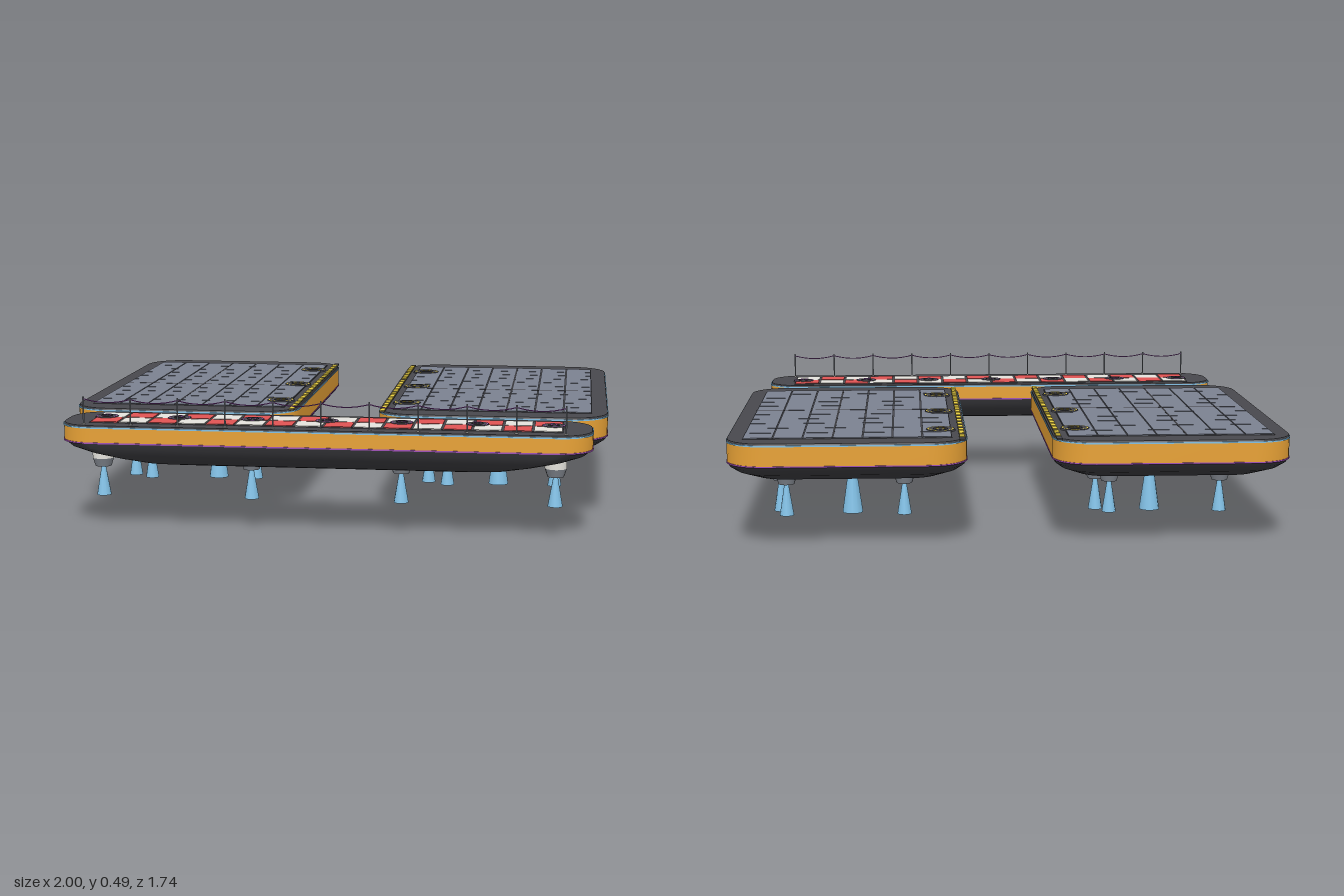
import * as THREE from 'three';
import { toCreasedNormals } from 'three/addons/utils/BufferGeometryUtils.js';

const mat = (name, color) => {
  const m = new THREE.MeshStandardMaterial({ color });
  m.name = name;
  return m;
};

export function createModel() {
  const M = {
    hull: mat('hull black', 0x38383c),
    rim: mat('deck charcoal', 0x48484d),
    band: mat('band orange', 0xe8a236),
    tile: mat('tile grey', 0x7b8190),
    red: mat('check red', 0xe05353),
    white: mat('check white', 0xe4e2dc),
    yellow: mat('marking yellow', 0xe6cc40),
    flame: mat('jet blue', 0x84c4ea),
    trim: mat('trim purple', 0xa050b8),
    metal: mat('nozzle grey', 0x80858d),
  };
  const root = new THREE.Group();
  root.name = 'floatingPlatforms';

  const add = (parent, name, geo, m, x = 0, y = 0, z = 0) => {
    const mesh = new THREE.Mesh(geo, m);
    mesh.name = name;
    mesh.position.set(x, y, z);
    parent.add(mesh);
    return mesh;
  };
  const box = (p, name, m, w, h, d, x, y, z) => add(p, name, new THREE.BoxGeometry(w, h, d), m, x, y, z);
  const cyl = (p, name, m, rTop, rBot, y0, y1, x, z, n = 16) =>
    add(p, name, new THREE.CylinderGeometry(rTop, rBot, y1 - y0, n), m, x, (y0 + y1) / 2, z);
  const group = (p, name, x = 0, z = 0) => {
    const g = new THREE.Group();
    g.name = name;
    g.position.set(x, 0, z);
    p.add(g);
    return g;
  };

  // Skin over rounded rectangles; layers run upward as [y, scaleX, scaleZ]
  function loft(hx, hz, r, layers) {
    const loop = [], steps = 8;
    [[1, 1], [-1, 1], [-1, -1], [1, -1]].forEach(([sx, sz], q) => {
      for (let i = 0; i <= steps; i++) {
        const a = (q + i / steps) * Math.PI / 2;
        loop.push([sx * (hx - r) + r * Math.cos(a), sz * (hz - r) + r * Math.sin(a)]);
      }
    });
    const n = loop.length, pos = [], idx = [];
    for (const [y, sx, sz] of layers) for (const [x, z] of loop) pos.push(x * sx, y, z * sz);
    for (let l = 0; l < layers.length - 1; l++) {
      for (let i = 0; i < n; i++) {
        const a = l * n + i, c = l * n + (i + 1) % n;
        idx.push(a, a + n, c, c, a + n, c + n);
      }
    }
    const top = (layers.length - 1) * n, c0 = pos.length / 3;
    pos.push(0, layers[0][0], 0, 0, layers[layers.length - 1][0], 0);
    for (let i = 0; i < n; i++) {
      const j = (i + 1) % n;
      idx.push(c0, i, j, c0 + 1, top + j, top + i);
    }
    const g = new THREE.BufferGeometry();
    g.setAttribute('position', new THREE.Float32BufferAttribute(pos, 3));
    g.setIndex(idx);
    return toCreasedNormals(g, 0.5);
  }

  // Hull, trim lines, coloured band and deck plate
  function body(p, hx, hz, r, yBand, hullLayers) {
    const line = (name, m, y) =>
      add(p, name, loft(hx + 0.002, hz + 0.002, r, [[y - 0.0025, 1, 1], [y + 0.0025, 1, 1]]), m);
    add(p, 'hull', loft(hx, hz, r, hullLayers), M.hull);
    line('lowerTrim', M.trim, yBand);
    add(p, 'sideBand', loft(hx, hz, r, [[yBand, 1, 1], [0.38, 1, 1]]), M.band);
    line('upperTrim', M.flame, 0.379);
    add(p, 'deckPlate', loft(hx, hz, r, [[0.38, 1, 1], [0.387, 0.996, 0.994]]), M.rim);
  }

  // Thruster: strut, tapered nozzle and jet cone
  function thruster(p, x, z, r, strutTop, yNozzle, yTip, strutMat) {
    const g = group(p, 'thruster', x, z);
    cyl(g, 'strut', strutMat, r, r, yNozzle + 0.03, strutTop, 0, 0);
    cyl(g, 'nozzle', M.metal, r, r * 0.75, yNozzle, yNozzle + 0.03, 0, 0);
    cyl(g, 'jet', M.flame, r * 0.2, r * 0.68, yTip, yNozzle, 0, 0, 12);
  }

  // Round deck emitter with a thin coloured ring and centre marks
  function emitter(p, x, z, r, m) {
    const g = group(p, 'deckEmitter', x, z);
    cyl(g, 'emitterBase', M.rim, r * 0.96, r, 0.386, 0.393, 0, 0, 20);
    const ring = add(g, 'emitterRing', new THREE.RingGeometry(r * 0.8, r * 0.88, 20), m, 0, 0.3936, 0);
    ring.rotation.x = -Math.PI / 2;
    cyl(g, 'emitterCore', M.hull, r * 0.5, r * 0.5, 0.392, 0.3945, 0, 0);
    for (const s of [-1, 1]) box(g, 'emitterMark', m, r * 0.2, 0.002, r * 0.34, s * r * 0.2, 0.3945, 0);
  }

  // Two large landing platforms
  const jets = [[-0.2, -0.41], [0.23, 0.4], [-0.175, 0.43], [-0.25, 0.385]];
  const pairs = { 1: [[0.25, -0.335], [0.225, -0.415]], '-1': [[0.25, -0.355], [0.205, -0.41]] };
  for (const s of [-1, 1]) {
    const p = group(root, s > 0 ? 'leftPlatform' : 'rightPlatform', s * 0.575, -0.19);
    body(p, 0.423, 0.682, 0.14, 0.306, [
      [0.217, 0.48, 0.5], [0.222, 0.62, 0.65], [0.238, 0.78, 0.81],
      [0.268, 0.92, 0.935], [0.29, 0.98, 0.985], [0.306, 1, 1],
    ]);

    // Tiled surface, 7 by 11, with two wider seams
    box(p, 'tileBed', M.rim, 0.735, 0.004, 1.15, s * -0.0025, 0.387, -0.005);
    const tw = 0.735 / 7, td = 1.15 / 11;
    const tiles = group(p, 'tiles');
    for (let i = 0; i < 7; i++) {
      for (let j = 0; j < 11; j++) {
        box(tiles, 'tile', M.tile, tw - 0.004, 0.004, td - 0.004,
          s * (-0.37 + (i + 0.5) * tw), 0.389, -0.58 + (j + 0.5) * td);
      }
    }
    box(tiles, 'seamLong', M.hull, 0.007, 0.005, 1.15, s * (-0.37 + 4 * tw), 0.389, -0.005);
    box(tiles, 'seamCross', M.hull, 0.735, 0.005, 0.007, s * -0.0025, 0.389, -0.58 + 6 * td);

    // Dashed warning strip on the inner edge
    box(p, 'edgeStrip', M.rim, 0.02, 0.006, 1.25, s * -0.405, 0.387, -0.005);
    for (let i = 0; i < 18; i++) {
      box(p, 'edgeDash', M.yellow, 0.018, 0.004, 0.046, s * -0.405, 0.391, -0.56 + i * 0.0688);
    }
    for (const z of [-0.42, 0, 0.42]) emitter(p, s * -0.332, z, 0.054, M.yellow);

    thruster(p, 0, 0, 0.058, 0.24, 0.195, 0, M.metal);
    for (const [x, z] of [...jets, ...pairs[s]]) thruster(p, x, z, 0.038, 0.255, 0.195, 0.08, M.metal);
  }

  // Long checkered platform at the front
  const f = group(root, 'frontPlatform', 0, 0.71);
  body(f, 0.943, 0.157, 0.12, 0.324, [
    [0.234, 0.6, 0.35], [0.241, 0.7, 0.53], [0.259, 0.8, 0.74],
    [0.28, 0.9, 0.88], [0.302, 0.97, 0.96], [0.324, 1, 1],
  ]);
  const cw = 0.105;
  box(f, 'checkBed', M.rim, 16 * cw, 0.004, 2 * cw, 0, 0.387, -0.014);
  for (let i = 0; i < 16; i++) {
    for (let j = 0; j < 2; j++) {
      box(f, 'checkTile', (i + j) % 2 ? M.red : M.white, cw - 0.008, 0.004, cw - 0.008,
        (i - 7.5) * cw, 0.389, -0.014 + (j - 0.5) * cw);
    }
  }
  for (let i = -3; i <= 3; i++) emitter(f, i * 0.2685, -0.028, 0.043, M.trim);
  for (const x of [-0.815, -0.27, 0.27, 0.815]) {
    thruster(f, x, 0, 0.039, 0.287, 0.215, 0.108, M.white);
  }

  // Rope fence along the front edge
  const fence = group(f, 'fence', 0, 0.125);
  const post = (i) => -0.85 + i * 0.17;
  for (let i = 0; i <= 10; i++) {
    cyl(fence, 'fencePost', M.metal, 0.003, 0.003, 0.386, 0.486, post(i), 0, 6);
    cyl(fence, 'postFoot', M.white, 0.007, 0.007, 0.386, 0.389, post(i), 0, 8);
    if (i === 10) break;
    const rope = new THREE.QuadraticBezierCurve3(
      new THREE.Vector3(post(i), 0.478, 0),
      new THREE.Vector3(post(i) + 0.085, 0.454, 0),
      new THREE.Vector3(post(i + 1), 0.478, 0));
    add(fence, 'fenceRope', new THREE.TubeGeometry(rope, 8, 0.002, 5), M.trim);
  }
  return root;
}
